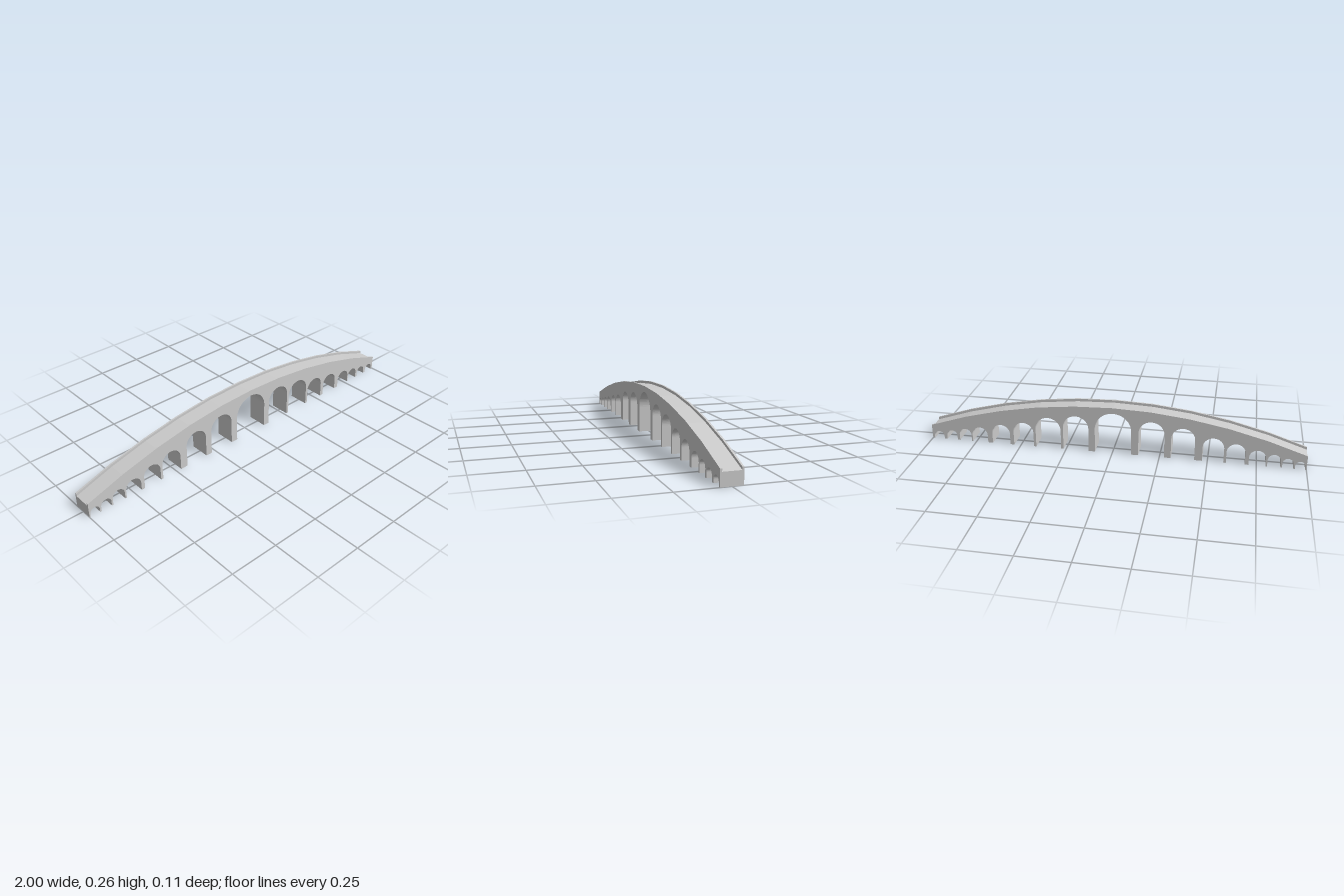
import * as THREE from 'three';

const HALF_WIDTH = 0.053;
const PARAPET = { width: 0.009, height: 0.0135 };
const STEPS = 10; // straight segments along the humped roadway

// Arch openings: left edge, right edge, crown height
const ARCHES = [
  [-0.994, -0.943, 0.043], [-0.935, -0.879, 0.054], [-0.871, -0.804, 0.07],
  [-0.796, -0.71, 0.086], [-0.691, -0.595, 0.112], [-0.582, -0.472, 0.135],
  [-0.432, -0.309, 0.176], [-0.274, -0.138, 0.198], [-0.1, 0.093, 0.23],
  [0.127, 0.264, 0.198], [0.277, 0.414, 0.176], [0.427, 0.537, 0.135],
  [0.558, 0.657, 0.112], [0.684, 0.77, 0.086], [0.777, 0.844, 0.07],
  [0.858, 0.917, 0.054], [0.933, 0.989, 0.043],
];

// Points of the humped top line from right to left, lowered by drop
function topLine(drop) {
  const points = [];
  for (let i = 0; i <= STEPS; i++) {
    const x = 1 - (2 * i) / STEPS;
    points.push(new THREE.Vector2(x, 0.262 - 0.184 * x * x - drop));
  }
  return points;
}

function extrude(points, depth, z, name, material) {
  const geometry = new THREE.ExtrudeGeometry(new THREE.Shape(points), {
    depth, bevelEnabled: false,
  });
  const mesh = new THREE.Mesh(geometry, material);
  mesh.position.z = z;
  mesh.name = name;
  return mesh;
}

export function createModel() {
  const bridge = new THREE.Group();
  bridge.name = 'archBridge';
  const stone = new THREE.MeshStandardMaterial({ color: 0xcccccc });

  // Body: piers and round-headed arches below, roadway on top
  const outline = [new THREE.Vector2(-1, 0)];
  for (const [x0, x1, crown] of ARCHES) {
    const radius = (x1 - x0) / 2;
    const segments = 32;
    outline.push(new THREE.Vector2(x0, 0));
    for (let i = 0; i <= segments; i++) {
      const a = Math.PI * (1 - i / segments);
      outline.push(new THREE.Vector2(
        (x0 + x1) / 2 + radius * Math.cos(a),
        crown - radius + radius * Math.sin(a),
      ));
    }
    outline.push(new THREE.Vector2(x1, 0));
  }
  outline.push(new THREE.Vector2(1, 0), ...topLine(PARAPET.height));
  bridge.add(extrude(outline, 2 * HALF_WIDTH, -HALF_WIDTH, 'archedBody', stone));

  // Low parapet along each edge of the roadway
  const strip = [...topLine(PARAPET.height).reverse(), ...topLine(0)];
  bridge.add(
    extrude(strip, PARAPET.width, HALF_WIDTH - PARAPET.width, 'frontParapet', stone),
    extrude(strip, PARAPET.width, -HALF_WIDTH, 'backParapet', stone),
  );
  return bridge;
}
